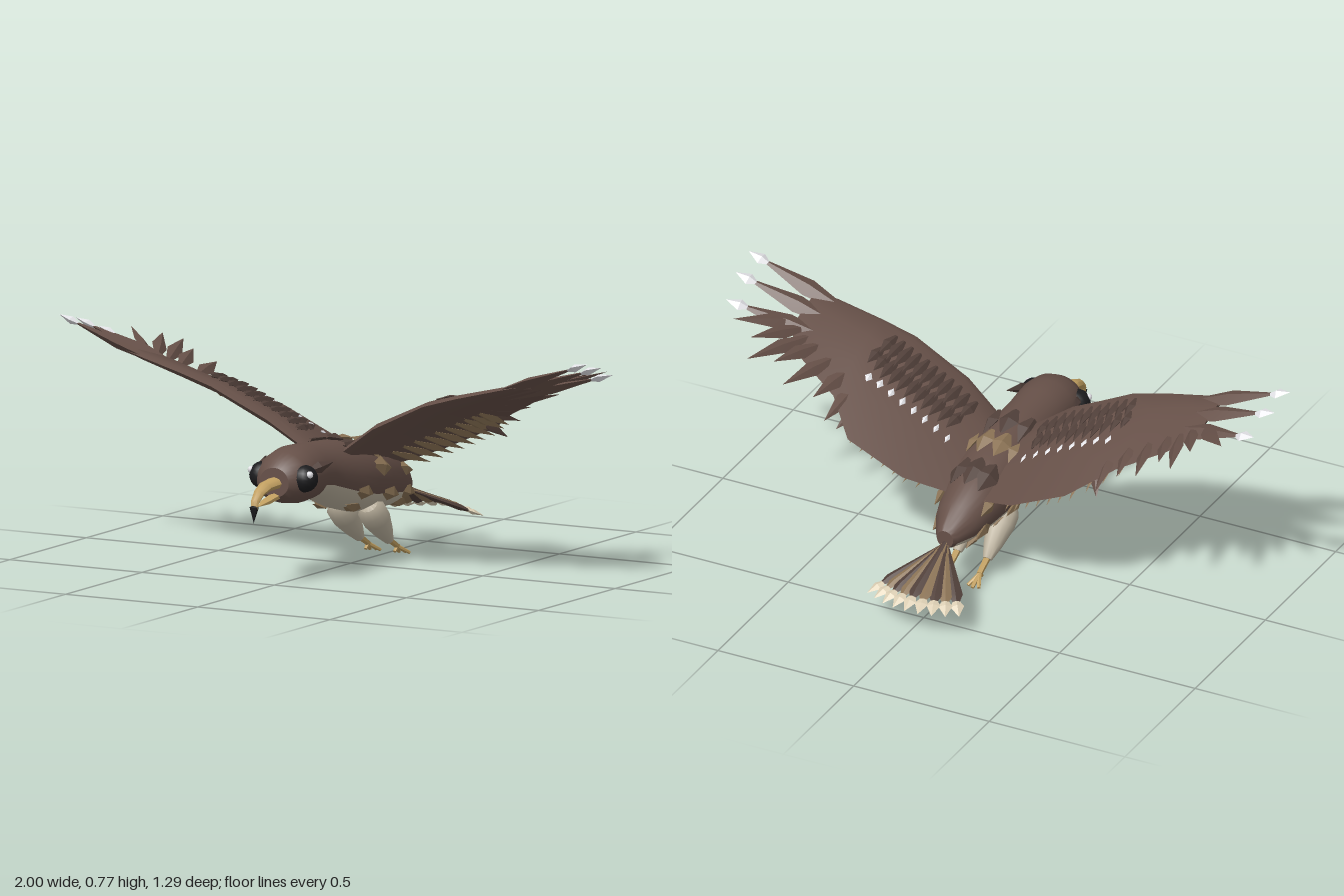
import * as THREE from 'three';
import { toCreasedNormals } from 'three/addons/utils/BufferGeometryUtils.js';

const V = (x, y, z) => new THREE.Vector3(x, y, z);
const lerp = THREE.MathUtils.lerp;
const mat = (name, color) => { const m = new THREE.MeshStandardMaterial({ color }); m.name = name; return m; };

// Closed surface through rings; isSecond(i, j) sends a quad to the second material
function loft(rings, crease, isSecond = () => false) {
  const n = rings[0].length, last = rings.length - 1, pos = [], lists = [[], []];
  rings.forEach(r => r.forEach(p => pos.push(p.x, p.y, p.z)));
  for (let i = 0; i < last; i++) for (let j = 0; j < n; j++) {
    const k = (j + 1) % n, a = i * n + j, b = i * n + k, c = b + n, d = a + n;
    lists[isSecond(i, j) ? 1 : 0].push(a, b, c, a, c, d);
  }
  [0, last].forEach(i => {
    const c = rings[i].reduce((s, p) => s.add(p), V(0, 0, 0)).divideScalar(n), m = pos.length / 3;
    pos.push(c.x, c.y, c.z);
    for (let j = 0; j < n; j++) {
      const a = i * n + j, b = i * n + (j + 1) % n;
      lists[0].push(...(i ? [m, a, b] : [m, b, a]));
    }
  });
  const g = new THREE.BufferGeometry();
  g.setAttribute('position', new THREE.Float32BufferAttribute(pos, 3));
  g.setIndex([...lists[0], ...lists[1]]);
  if (lists[1].length) {
    g.addGroup(0, lists[0].length, 0);
    g.addGroup(lists[0].length, lists[1].length, 1);
  }
  return toCreasedNormals(g, crease);
}

function add(parent, name, geo, material) {
  const m = new THREE.Mesh(geo, material);
  m.name = name;
  parent.add(m);
  return m;
}

function group(parent, name) {
  const g = new THREE.Group();
  g.name = name;
  parent.add(g);
  return g;
}

// Spindle from a to b, flattened along up; profile holds [radius, height] from 0 to 1
const LEAF = [[0.15, 0], [0.5, 0.45], [0, 1]];
function leaf(parent, name, material, a, b, width, thick, up = V(0, 1, 0), profile = LEAF, sides = 4) {
  const dir = b.clone().sub(a), len = dir.length();
  dir.normalize();
  const side = dir.clone().cross(up).normalize(), nrm = side.clone().cross(dir);
  const lathe = new THREE.LatheGeometry(profile.map(p => new THREE.Vector2(p[0], p[1])), sides);
  lathe.scale(width, len, thick);
  lathe.applyMatrix4(new THREE.Matrix4().makeBasis(side, dir, nrm).setPosition(a));
  return add(parent, name, toCreasedNormals(lathe, sides > 6 ? 0.9 : 0.3), material);
}

// Wing stations: x, leading z and y, trailing z and y, thickness
const WING = [
  [0.04, 0.17, 0.38, -0.20, 0.30, 0.03], [0.20, 0.205, 0.49, -0.27, 0.36, 0.035],
  [0.40, 0.22, 0.585, -0.27, 0.45, 0.03], [0.52, 0.215, 0.62, -0.14, 0.515, 0.025],
  [0.68, 0.205, 0.66, -0.08, 0.595, 0.018], [0.75, 0.19, 0.675, 0.0, 0.635, 0.01]];
// Point on the wing at span x and chord fraction t, lifted by dy
function onWing(s, x, t, dy = 0) {
  let i = 0;
  while (i < WING.length - 2 && WING[i + 1][0] < x) i++;
  const f = (x - WING[i][0]) / (WING[i + 1][0] - WING[i][0]);
  const w = WING[i].map((v, k) => lerp(v, WING[i + 1][k], f));
  return V(s * x, lerp(w[2], w[4], t) + dy, lerp(w[1], w[3], t));
}

export function createModel() {
  const root = new THREE.Group();
  root.name = 'bird';
  const brown = mat('brown plumage', 0x665048), dark = mat('dark brown', 0x51403a);
  const tan = mat('tan feather', 0x8b7355), cream = mat('cream belly', 0xbdb39f);
  const pale = mat('pale tail tip', 0xdccfb4), gold = mat('beak and feet', 0xc2a061);
  const black = mat('black', 0x1c1c1e), white = mat('white', 0xe6e6ea);

  // Body and head: z, top, bottom, half width, from rump to face
  const sections = [
    [-0.35, 0.25, 0.19, 0.03], [-0.335, 0.262, 0.182, 0.04], [-0.27, 0.31, 0.168, 0.075],
    [-0.18, 0.36, 0.163, 0.1], [-0.08, 0.395, 0.166, 0.118], [0.02, 0.415, 0.175, 0.123],
    [0.12, 0.43, 0.2, 0.116], [0.2, 0.437, 0.23, 0.102], [0.26, 0.44, 0.253, 0.097],
    [0.31, 0.445, 0.26, 0.098], [0.38, 0.448, 0.256, 0.102], [0.44, 0.435, 0.264, 0.097],
    [0.48, 0.412, 0.275, 0.078], [0.5, 0.39, 0.292, 0.055]];
  const N = 28;
  const rings = sections.map(([z, top, bot, w]) => Array.from({ length: N }, (_, j) => {
    const a = j / N * Math.PI * 2;
    return V(w * Math.cos(a), (top + bot) / 2 + (top - bot) / 2 * Math.sin(a), z);
  }));
  add(root, 'body', loft(rings, 0.7, (i, j) => i >= 1 && i < 9 && j >= 16 && j < 26), [brown, cream]);

  // Scale feathers lying on the body: z, angle in degrees, colour, length, width
  const plumage = group(root, 'bodyScales');
  function scale(z, deg, material, len, width) {
    let i = 0;
    while (sections[i + 1][0] < z) i++;
    const f = (z - sections[i][0]) / (sections[i + 1][0] - sections[i][0]);
    const [, top, bot, w] = sections[i].map((v, k) => lerp(v, sections[i + 1][k], f));
    const a = deg * Math.PI / 180, up = V(Math.cos(a), Math.sin(a), 0);
    const p = V(w * up.x * 1.03, (top + bot) / 2 + (top - bot) / 2 * up.y * 1.03, z);
    const tilt = V(0, -0.12 * len, -len / 2);
    leaf(plumage, 'scale', material, p.clone().sub(tilt), p.clone().add(tilt), width, 0.035, up);
  }
  [58, 90, 122].forEach(d => scale(0.1, d, dark, 0.12, 0.07));
  [20, 48, 76, 104, 132, 160].forEach(d => scale(-0.01, d, tan, 0.11, 0.07));
  [62, 90, 118].forEach(d => scale(-0.15, d, dark, 0.13, 0.085));
  [25, 155].forEach(d => scale(-0.21, d, tan, 0.1, 0.05));
  [0.09, -0.075, -0.235].forEach(z => [-25, -60, -120, -155].forEach(d => scale(z, d, tan, 0.1, 0.055)));

  // Beak: arched upper half, straight lower half, black hook
  const beak = group(root, 'beak');
  const upper = [[0.63, 0.27, 0.012], [0.625, 0.295, 0.016], [0.6, 0.32, 0.02], [0.56, 0.335, 0.025], [0.48, 0.34, 0.03]];
  const beakRings = upper.reverse().map(([z, y, r], i) => Array.from({ length: 8 }, (_, j) => {
    const a = j / 8 * Math.PI * 2, lean = i / 4 * 1.2, h = r * 0.72 * Math.sin(a);
    return V(r * Math.cos(a), y + h * Math.cos(lean), z + h * Math.sin(lean));
  }));
  add(beak, 'upperBeak', loft(beakRings, 0.8), gold);
  leaf(beak, 'lowerBeak', gold, V(0, 0.297, 0.48), V(0, 0.275, 0.61), 0.045, 0.024, V(0, 1, 0),
    [[0, 0], [0.5, 0.001], [0.4, 0.6], [0, 1]], 6);
  leaf(beak, 'beakHook', black, V(0, 0.287, 0.63), V(0, 0.225, 0.634), 0.03, 0.03, V(0, 0, 1),
    [[0, 0], [0.5, 0.15], [0, 1]], 6);

  // Tail fan with pale tips
  const tail = group(root, 'tail');
  for (let i = -4; i <= 4; i++) {
    const a = i * 0.155, len = 0.265 - Math.abs(i) * 0.002;
    const at = r => V(Math.sin(a) * r, 0.215 - r * 0.39 - Math.abs(i) * 0.003, -0.34 - Math.cos(a) * r);
    leaf(tail, 'tailFeather', i % 2 ? tan : dark, at(0), at(len), 0.05, 0.02, V(0, 1, 0), [[0.1, 0], [0.5, 0.8], [0, 1]]);
    leaf(tail, 'tailTip', pale, at(len * 0.82), at(len + 0.035), 0.046, 0.018, V(0, 1, 0), [[0, 0], [0.5, 0.5], [0, 1]]);
  }

  for (const s of [1, -1]) {
    const label = s > 0 ? 'left' : 'right', up = V(-0.5 * s, 1, -0.3).normalize();

    // Eye, glint and brow tuft
    const eye = add(root, label + 'Eye', new THREE.SphereGeometry(0.045, 16, 12), black);
    eye.position.set(s * 0.079, 0.352, 0.438);
    const glint = add(root, label + 'EyeGlint', new THREE.SphereGeometry(0.012, 8, 6), white);
    glint.position.set(s * 0.111, 0.37, 0.459);
    leaf(root, label + 'Brow', dark, V(s * 0.09, 0.375, 0.43), V(s * 0.127, 0.397, 0.33), 0.04, 0.025, V(s, 0.3, 0));

    // Wing surface
    const wing = group(root, label + 'Wing');
    const top = [[1, 0], [0.65, 0.7], [0.3, 1], [0.07, 0.7], [0, 0]];
    const outline = [...top, [0.07, -0.5], [0.3, -0.3], [0.65, -0.15]];
    const wingRings = WING.map(w => outline.map(([t, h]) => onWing(s, w[0], t, h * w[5])));
    add(wing, 'wingSurface', loft(s > 0 ? wingRings : wingRings.reverse(), 0.6), brown);

    // Three white-tipped flight feathers
    [[0.97, 0.76, 0.18], [0.965, 0.735, 0.08], [0.945, 0.695, -0.025]].forEach(([x, y, z], i) => {
      const a = V(s * 0.62, 0.635 - i * 0.015, 0.175 - i * 0.065), b = V(s * x, y, z);
      leaf(wing, 'flightFeather', brown, a, b, 0.075, 0.035, up);
      const d = b.clone().sub(a).normalize();
      leaf(wing, 'flightFeatherTip', white, b.clone().addScaledVector(d, -0.06), b.clone().addScaledVector(d, 0.03),
        0.048, 0.026, up, [[0, 0], [0.5, 0.45], [0, 1]]);
    });

    // Pointed feathers along the trailing edge
    [[0.42, 0.48, 0.42, -0.2], [0.47, 0.5, 0.47, -0.245], [0.52, 0.56, 0.525, -0.21], [0.58, 0.65, 0.57, -0.25],
      [0.64, 0.71, 0.615, -0.2], [0.68, 0.78, 0.635, -0.255], [0.71, 0.81, 0.665, -0.17], [0.73, 0.9, 0.685, -0.12]]
      .forEach(([x0, x1, y1, z1]) =>
        leaf(wing, 'trailingFeather', brown, onWing(s, x0, 0.65), V(s * x1, y1 + 0.01, z1), 0.055, 0.025, up));

    // Overlapping coverts on the upper side
    for (let row = 0; row < 2; row++) for (let i = 0; i < 11; i++) {
      const x = 0.13 + i * 0.031 + row * 0.015, t = 0.14 + row * 0.15;
      leaf(wing, 'covert', dark, onWing(s, x, t, 0.03), onWing(s, x + 0.012, t + 0.24, 0.042), 0.042, 0.022, up);
    }

    // Row of small white flecks
    for (let i = 0; i < 8; i++) {
      const x = 0.14 + i * 0.043, z = -0.062 + i * 0.003, w = 0.017 + i * 0.0015;
      const chord = (onWing(s, x, 0).z - z) / (onWing(s, x, 0).z - onWing(s, x, 1).z);
      const p = onWing(s, x, chord, 0.032), d = V(0, 0.006, 0.02);
      leaf(wing, 'fleck', white, p.clone().add(d), p.clone().sub(d), w, 0.009, up, [[0, 0], [0.5, 0.5], [0, 1]]);
    }

    // Tan feathers under the trailing half
    for (let i = 0; i < 10; i++) {
      const x = 0.14 + i * 0.04;
      leaf(wing, 'underFeather', tan, onWing(s, x, 0.5, -0.015), onWing(s, x + 0.025, 0.97, -0.035), 0.04, 0.025, up);
    }

    // Leg: thigh, shank and toes
    const leg = group(root, label + 'Leg'), x = s * 0.06;
    leaf(leg, 'thigh', cream, V(x, 0.205, -0.005), V(s * 0.055, 0.06, -0.155), 0.1, 0.1, V(0, 1, -1),
      [[0, 0], [0.32, 0.04], [0.48, 0.2], [0.48, 0.4], [0.32, 0.75], [0.16, 1], [0, 1]], 12);
    const foot = V(s * 0.055, 0.032, -0.21), rod = [[0, 0], [0.5, 0], [0.4, 1], [0, 1]];
    leaf(leg, 'shank', gold, V(s * 0.055, 0.07, -0.14), foot, 0.024, 0.024, V(0, 1, 0), rod, 6);
    [-0.02, 0, 0.02].forEach(dx => leaf(leg, 'toe', gold, foot,
      V(foot.x + dx, 0.006, -0.262 + Math.abs(dx) * 0.4), 0.016, 0.014, V(0, 1, 0), rod, 6));
    leaf(leg, 'hindToe', gold, foot, V(foot.x, 0.016, -0.192), 0.014, 0.014, V(0, 1, 0), rod, 6);
  }
  return root;
}
